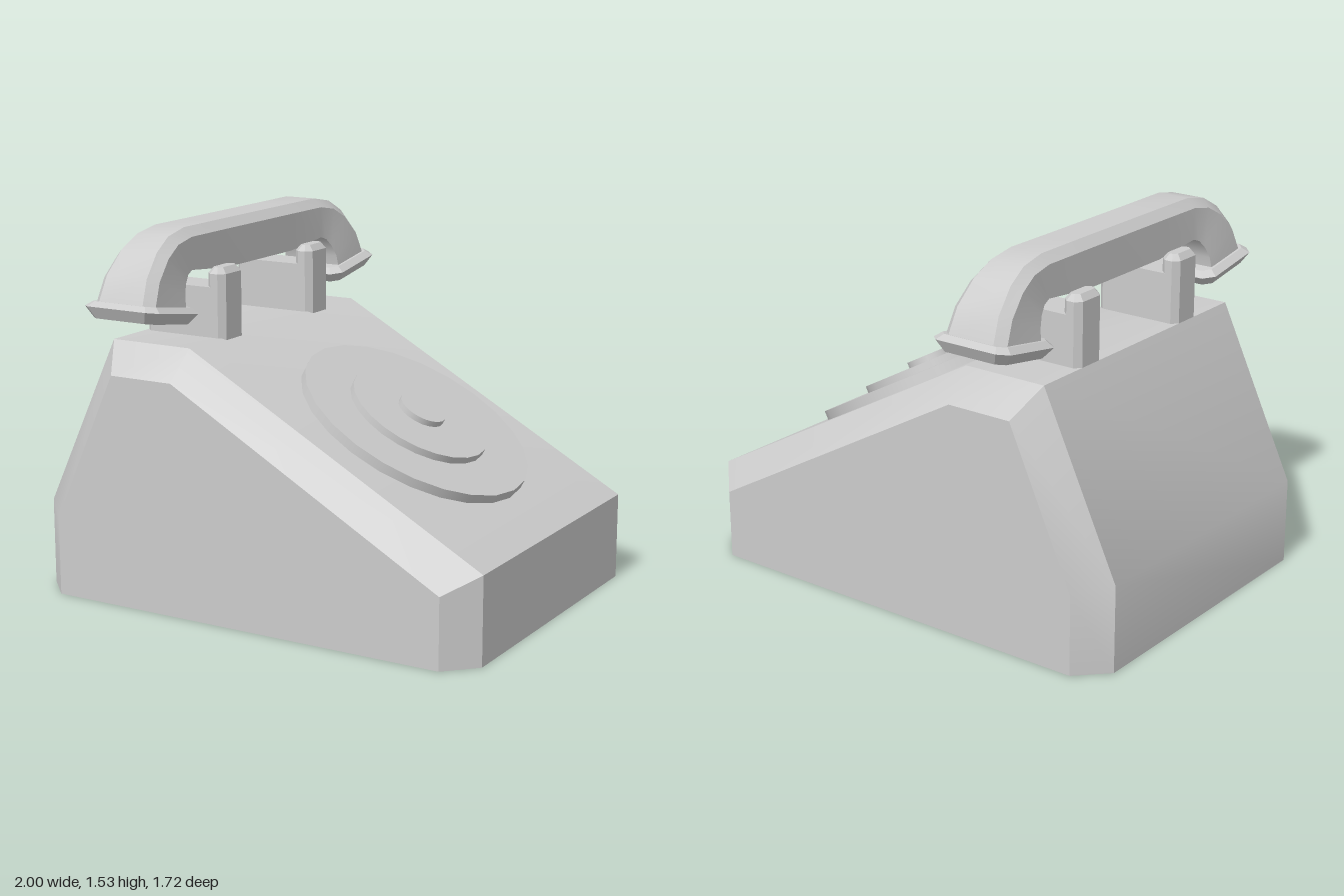
import * as THREE from 'three';
import { toCreasedNormals } from 'three/addons/utils/BufferGeometryUtils.js';

const material = new THREE.MeshStandardMaterial({ color: 0xcccccc });

// Skin a stack of equal-length rings (counterclockwise about the stacking axis) and close both ends.
function loft(rings, crease = 0.55) {
  const pos = [];
  const tri = (a, b, c) => pos.push(...a, ...b, ...c);
  const n = rings[0].length;
  for (let r = 0; r < rings.length - 1; r++) {
    const a = rings[r], b = rings[r + 1];
    for (let i = 0; i < n; i++) {
      const j = (i + 1) % n;
      tri(a[i], a[j], b[j]);
      tri(a[i], b[j], b[i]);
    }
  }
  const first = rings[0], last = rings[rings.length - 1];
  for (let i = 1; i < n - 1; i++) {
    tri(first[0], first[i + 1], first[i]);
    tri(last[0], last[i], last[i + 1]);
  }
  const geo = new THREE.BufferGeometry();
  geo.setAttribute('position', new THREE.Float32BufferAttribute(pos, 3));
  geo.computeVertexNormals();
  return toCreasedNormals(geo, crease);
}

// Horizontal rectangle with cut corners, at height y.
function cutRect(hx, hz, c, y) {
  return [
    [-hx + c, y, hz], [hx - c, y, hz], [hx, y, hz - c], [hx, y, -hz + c],
    [hx - c, y, -hz], [-hx + c, y, -hz], [-hx, y, -hz + c], [-hx, y, hz - c],
  ];
}

function addMesh(parent, name, geometry) {
  const mesh = new THREE.Mesh(geometry, material);
  mesh.name = name;
  parent.add(mesh);
  return mesh;
}

export function createModel() {
  const model = new THREE.Group();
  model.name = 'deskTelephone';

  // Wedge body with wide bevels toward both ends
  const outer = [[-1, 0], [1, 0], [1, 0.36], [-0.3, 1.075], [-0.665, 1.075], [-1, 0.36]];
  const inner = [[-0.88, 0], [0.88, 0], [0.88, 0.29], [-0.31, 0.955], [-0.595, 0.955], [-0.88, 0.33]];
  const at = (profile, z) => profile.map(([x, y]) => [x, y, z]);
  addMesh(model, 'body', loft([at(inner, -0.75), at(outer, -0.63), at(outer, 0.63), at(inner, 0.75)]));

  // Stepped dial lying on the slope
  const dial = new THREE.Group();
  dial.name = 'dial';
  dial.position.set(0.36, 0.712, 0);
  dial.rotation.z = -Math.atan2(0.715, 1.3);
  model.add(dial);
  for (const [name, radius, top, sides] of [
    ['dialPlate', 0.5, 0.04, 24], ['dialRing', 0.3, 0.07, 24], ['dialHub', 0.1, 0.095, 20],
  ]) {
    const disc = addMesh(dial, name, new THREE.CylinderGeometry(radius, radius, top + 0.01, sides));
    disc.position.y = (top - 0.01) / 2;
  }

  // Two forked cradle posts
  for (const side of [1, -1]) {
    const cradle = new THREE.Group();
    cradle.name = side > 0 ? 'frontCradle' : 'backCradle';
    cradle.position.set(-0.475, 0, side * 0.333);
    model.add(cradle);
    addMesh(cradle, 'cradlePost', loft([cutRect(0.19, 0.08, 0.025, 1.0), cutRect(0.19, 0.08, 0.025, 1.28)]));
    for (const s of [1, -1]) {
      const prong = addMesh(cradle, 'cradleProng', loft([
        cutRect(0.042, 0.08, 0.025, 1.25),
        cutRect(0.042, 0.08, 0.025, 1.335),
        cutRect(0.022, 0.06, 0.015, 1.36),
      ]));
      prong.position.x = s * 0.148;
    }
  }

  // Handset: handle with bevelled back, curving down and widening at both ends
  const handset = new THREE.Group();
  handset.name = 'handset';
  handset.position.x = -0.48;
  model.add(handset);
  // Each station: back z, back y, underside z, underside y, half width
  const half = [
    [0.25, 1.528, 0.25, 1.335, 0.105], [0.495, 1.528, 0.495, 1.36, 0.107],
    [0.61, 1.506, 0.53, 1.347, 0.112], [0.70, 1.455, 0.56, 1.315, 0.121],
    [0.785, 1.365, 0.582, 1.27, 0.132], [0.835, 1.25, 0.59, 1.205, 0.142],
  ];
  const mirrored = half.map(([a, b, c, d, w]) => [-a, b, -c, d, w]).reverse();
  const rings = [...mirrored, ...half].map(([zo, yo, zi, yi, w]) => {
    const length = Math.hypot(zo - zi, yo - yi);
    const k = 0.036 / length;
    const zc = zo + (zi - zo) * k, yc = yo + (yi - yo) * k;
    const t = w - 0.037;
    return [[w, yi, zi], [w, yc, zc], [t, yo, zo], [-t, yo, zo], [-w, yc, zc], [-w, yi, zi]];
  });
  addMesh(handset, 'handle', loft(rings));

  // Bevelled caps on the ear and mouth ends
  for (const side of [1, -1]) {
    const cap = addMesh(handset, side > 0 ? 'frontCap' : 'backCap', loft([
      cutRect(0.145, 0.14, 0.03, -0.045),
      cutRect(0.178, 0.173, 0.04, 0),
      cutRect(0.15, 0.148, 0.03, 0.022),
    ], 0.3));
    cap.position.set(0, 1.222, side * 0.69);
    cap.rotation.order = 'YXZ';
    cap.rotation.set(-0.16, side > 0 ? 0 : Math.PI, 0);
  }

  return model;
}
